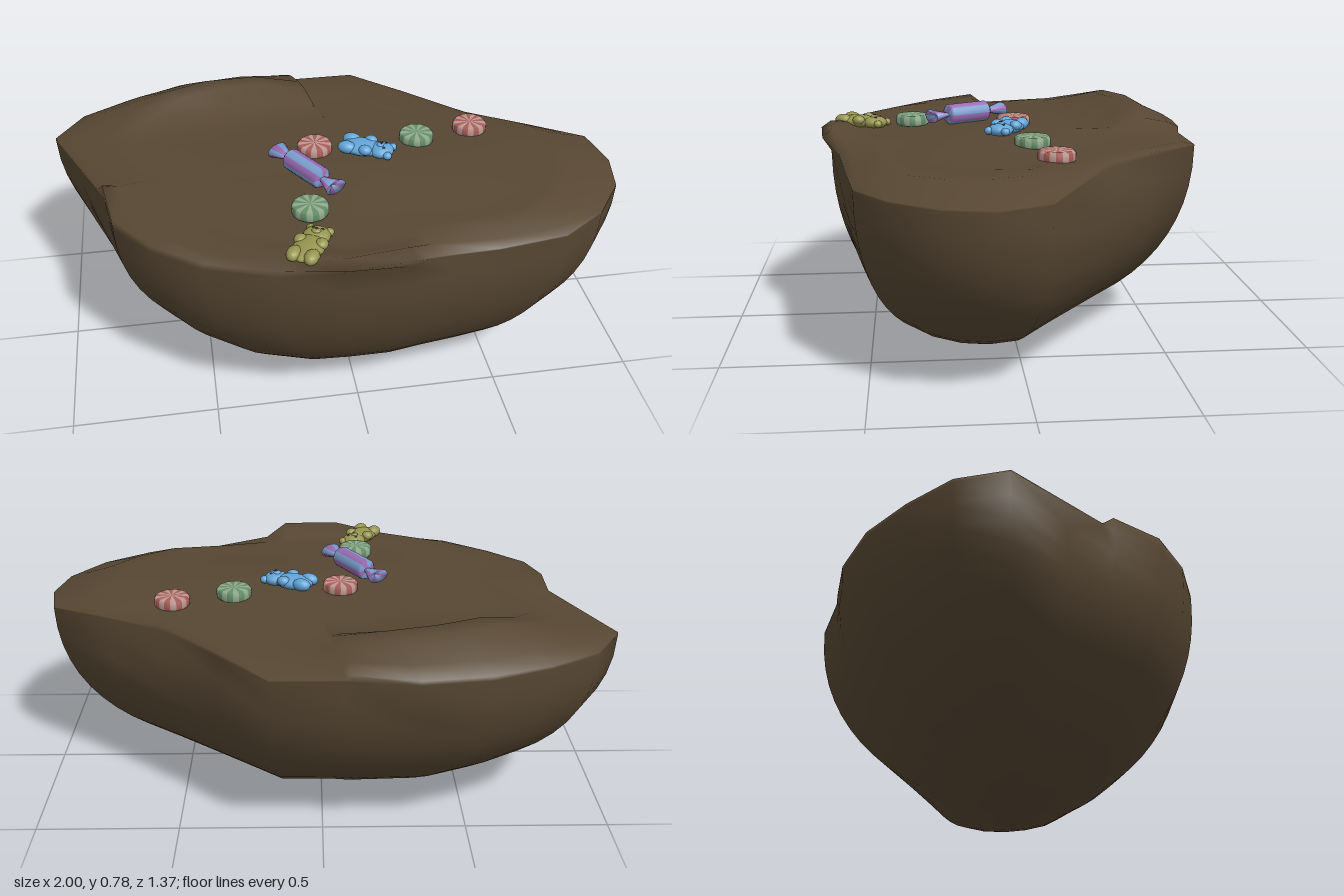
import * as THREE from 'three';

const mat = (color) => new THREE.MeshStandardMaterial({ color });

// Rim stations: x, z, rim height, height just inside the rim, height further in
const RIM = [
  [-1, -0.33, 0.665, 0.67, 0.69], [-0.9, -0.48, 0.665, 0.69, 0.72], [-0.73, -0.58, 0.665, 0.70, 0.755],
  [-0.53, -0.66, 0.67, 0.70, 0.755], [-0.3, -0.69, 0.67, 0.70, 0.745], [-0.09, -0.665, 0.68, 0.70, 0.72],
  [-0.07, -0.66, 0.66, 0.67, 0.68], [0.17, -0.66, 0.66, 0.67, 0.68], [0.36, -0.46, 0.67, 0.68, 0.68],
  [0.55, -0.27, 0.67, 0.68, 0.68], [0.76, -0.16, 0.66, 0.68, 0.69], [0.96, -0.05, 0.65, 0.665, 0.70],
  [0.995, 0.11, 0.64, 0.655, 0.695], [0.96, 0.27, 0.64, 0.655, 0.69], [0.85, 0.42, 0.64, 0.655, 0.685],
  [0.69, 0.53, 0.64, 0.655, 0.685], [0.45, 0.565, 0.64, 0.66, 0.685], [0.22, 0.6, 0.66, 0.69, 0.69],
  [0.14, 0.66, 0.70, 0.73, 0.69], [-0.08, 0.68, 0.70, 0.725, 0.69], [-0.27, 0.62, 0.68, 0.70, 0.69],
  [-0.51, 0.54, 0.68, 0.69, 0.69], [-0.67, 0.42, 0.68, 0.69, 0.69], [-0.79, 0.27, 0.69, 0.69, 0.69],
  [-0.82, 0.09, 0.71, 0.70, 0.69], [-0.84, 0.04, 0.665, 0.68, 0.69],
];
const CX = 0.08, CZ = 0.11, N = RIM.length;

// One closed ring: an outline scaled about the centre, with a height per station
const ringAt = (outline, s, height) => outline.map(([x, z], i) =>
  [CX + (x - CX) * s, height(RIM[i]), CZ + (z - CZ) * s]);

// Moves only the inward notches of an outline out towards their neighbours
function fillNotches(outline) {
  return outline.map((p, i) => {
    const a = outline[(i + N - 1) % N], b = outline[(i + 1) % N];
    const mid = [(a[0] + b[0]) / 2, (a[1] + b[1]) / 2];
    const reach = (q) => Math.hypot(q[0] - CX, q[1] - CZ);
    return reach(mid) > reach(p) ? mid : p;
  });
}

function loft(rings) {
  const index = [];
  for (let j = 0; j < rings.length - 1; j++) {
    for (let i = 0; i < N; i++) {
      const a = j * N + i, b = j * N + (i + 1) % N;
      index.push(a, b, a + N, b, b + N, a + N);
    }
  }
  const g = new THREE.BufferGeometry();
  g.setAttribute('position', new THREE.Float32BufferAttribute(rings.flat(2), 3));
  g.setIndex(index);
  g.computeVertexNormals();
  return g;
}

// Uneven top with a back ridge and an overhanging front lip, then a bowl-shaped underside
function moundGeometry() {
  const rings = [
    ringAt(RIM, 0, () => 0.71), ringAt(RIM, 0.25, () => 0.705), ringAt(RIM, 0.45, () => 0.695),
    ringAt(RIM, 0.64, (p) => Math.min(p[4], 0.69)), ringAt(RIM, 0.74, (p) => p[4]),
    ringAt(RIM, 0.82, (p) => p[4]), ringAt(RIM, 0.94, (p) => p[3]), ringAt(RIM, 1, (p) => p[2]),
  ];
  let outline = RIM.map(([x, z]) => [x, Math.min(z, 0.63)]);
  const steps = 16, power = 2 / 2.2;
  for (let k = 0; k <= steps; k++) {
    const a = (k / steps) * Math.PI / 2;
    const s = Math.max(Math.cos(a), 0) ** power, drop = Math.sin(a) ** power;
    rings.push(ringAt(outline, s, (p) => (Math.min(p[2], 0.66) - 0.005) * (1 - drop)));
    outline = fillNotches(outline);
  }
  return loft(rings);
}

// Lathe split into n wedges of alternating colour, axis along y
function stripedLathe(profile, n, colors) {
  const group = new THREE.Group();
  const points = profile.map(([r, y]) => new THREE.Vector2(r, y));
  const mats = colors.map(mat);
  for (let i = 0; i < n; i++) {
    const wedge = new THREE.LatheGeometry(points, 2, (i * 2 * Math.PI) / n, (2 * Math.PI) / n);
    const m = new THREE.Mesh(wedge, mats[i % 2]);
    m.name = 'stripe';
    group.add(m);
  }
  return group;
}

function mint(x, y, z, color, pale) {
  const r = 0.062, h = 0.02;
  const g = stripedLathe(
    [[0, -h], [r * 0.88, -h], [r, -h * 0.6], [r, h * 0.6], [r * 0.88, h], [0, h]], 18, [color, pale]);
  g.name = 'roundMint';
  g.position.set(x, y, z);
  return g;
}

// Wrapped sweet with a faceted body and two pinched, flared ends
function wrappedSweet() {
  const colors = [0x7d9fd0, 0x9a6cb4];
  const g = new THREE.Group();
  const body = stripedLathe([[0, -0.09], [0.03, -0.088], [0.038, -0.08], [0.038, 0.08], [0.03, 0.088], [0, 0.09]], 8, colors);
  body.name = 'wrapperBody';
  g.add(body);
  for (const s of [-1, 1]) {
    const end = stripedLathe([[0.012, 0.085], [0.016, 0.1], [0.042, 0.158], [0, 0.135]], 8, colors);
    end.name = 'wrapperEnd';
    end.scale.z = 0.6;
    if (s < 0) end.rotation.x = Math.PI;
    g.add(end);
  }
  g.name = 'wrappedSweet';
  g.rotation.set(Math.PI / 2, 0, -Math.atan2(0.16, 0.26));
  g.position.set(-0.125, 0.74, 0.14);
  return g;
}

// Chunky gummy bear lying on its back, head towards local +x
function gummyBear(x, y, z, dx, dz, color) {
  const g = new THREE.Group(), m = mat(color), dark = mat(0x2a2620);
  const blob = (name, px, py, pz, sx, sy, sz, material = m) => {
    const b = new THREE.Mesh(new THREE.SphereGeometry(1, 16, 10), material);
    b.name = name;
    b.position.set(px, py, pz);
    b.scale.set(sx, sy, sz);
    g.add(b);
  };
  blob('belly', -0.02, 0, 0, 0.075, 0.024, 0.052);
  blob('head', 0.052, 0, 0, 0.044, 0.024, 0.046);
  blob('snout', 0.048, 0.02, 0, 0.014, 0.01, 0.016);
  blob('nose', 0.051, 0.029, 0, 0.005, 0.003, 0.006, dark);
  for (const s of [-1, 1]) {
    blob('ear', 0.083, 0, s * 0.032, 0.016, 0.014, 0.016);
    blob('eye', 0.064, 0.02, s * 0.016, 0.005, 0.004, 0.005, dark);
    blob('arm', 0.002, 0.01, s * 0.036, 0.024, 0.018, 0.022);
    blob('leg', -0.068, 0.006, s * 0.03, 0.034, 0.022, 0.025);
  }
  g.name = 'gummyBear';
  g.position.set(x, y, z);
  g.rotation.y = Math.atan2(-dz, dx);
  return g;
}

export function createModel() {
  const model = new THREE.Group();
  const mound = new THREE.Mesh(moundGeometry(), mat(0x574733));
  mound.name = 'mound';
  model.add(mound);

  // Sweets scattered on top
  const red = 0xa85c5a, green = 0x648e68, paleRed = 0xbd9a92, paleGreen = 0x93ab8f;
  model.add(
    mint(-0.07, 0.717, -0.03, red, paleRed), mint(0.525, 0.7, -0.115, red, paleRed),
    mint(0.31, 0.708, -0.06, green, paleGreen), mint(-0.14, 0.715, 0.345, green, paleGreen),
    wrappedSweet(),
    gummyBear(0.115, 0.722, 0.012, 0.85, 0.45, 0x62a5d8),
    gummyBear(-0.165, 0.705, 0.53, 0.48, -0.85, 0x97954f),
  );
  return model;
}
